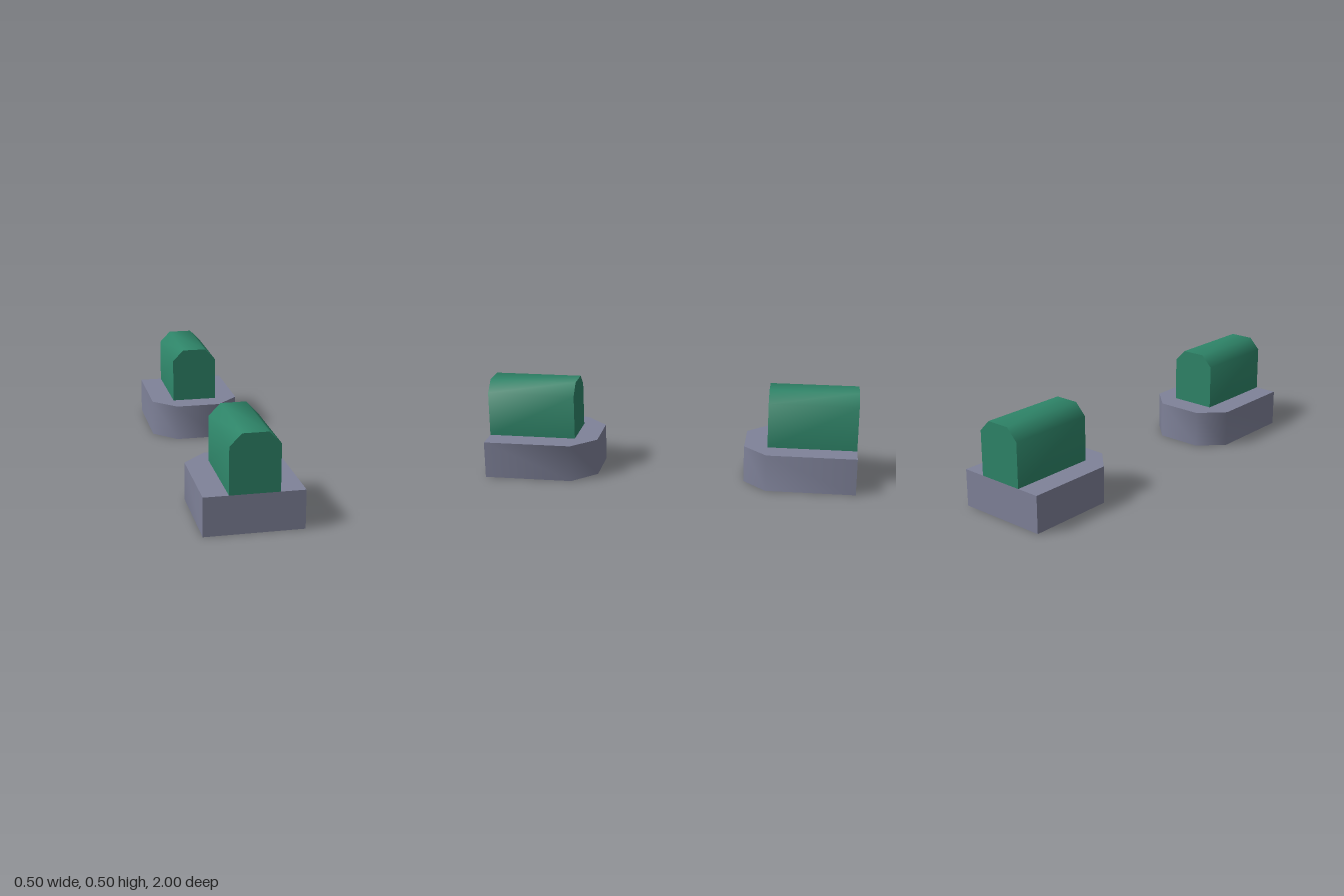
import * as THREE from 'three';
import { toCreasedNormals } from 'three/addons/utils/BufferGeometryUtils.js';

// Extrude an outline, smoothing its 45 degree chamfers and keeping square corners sharp
function prism(points, depth) {
  const shape = new THREE.Shape(points.map(([x, y]) => new THREE.Vector2(x, y)));
  const geometry = new THREE.ExtrudeGeometry(shape, { depth, bevelEnabled: false });
  return toCreasedNormals(geometry, THREE.MathUtils.degToRad(60));
}

export function createModel() {
  const model = new THREE.Group();
  model.name = 'pairedBlocks';

  const grey = new THREE.MeshStandardMaterial({ color: 0x7f8299 });
  grey.name = 'slate grey';
  const green = new THREE.MeshStandardMaterial({ color: 0x2e8468 });
  green.name = 'green';

  // Plinth plan: square outer end, chamfered inner end
  const plinth = prism([
    [-0.25, -1], [0.25, -1], [0.25, -0.525], [0.125, -0.4],
    [-0.125, -0.4], [-0.25, -0.525],
  ], 0.2);
  plinth.rotateX(-Math.PI / 2);

  // Block section: upright sides with chamfered top edges
  const block = prism([
    [-0.125, 0.2], [0.125, 0.2], [0.125, 0.44], [0.065, 0.502],
    [-0.065, 0.502], [-0.125, 0.44],
  ], 0.475);
  block.translate(0, 0, 0.525);

  // Two identical ends facing each other
  for (const [name, turn] of [['front', 0], ['back', Math.PI]]) {
    const end = new THREE.Group();
    end.name = name + 'End';
    const base = new THREE.Mesh(plinth, grey);
    base.name = name + 'Plinth';
    const top = new THREE.Mesh(block, green);
    top.name = name + 'Block';
    end.add(base, top);
    end.rotation.y = turn;
    model.add(end);
  }
  return model;
}
